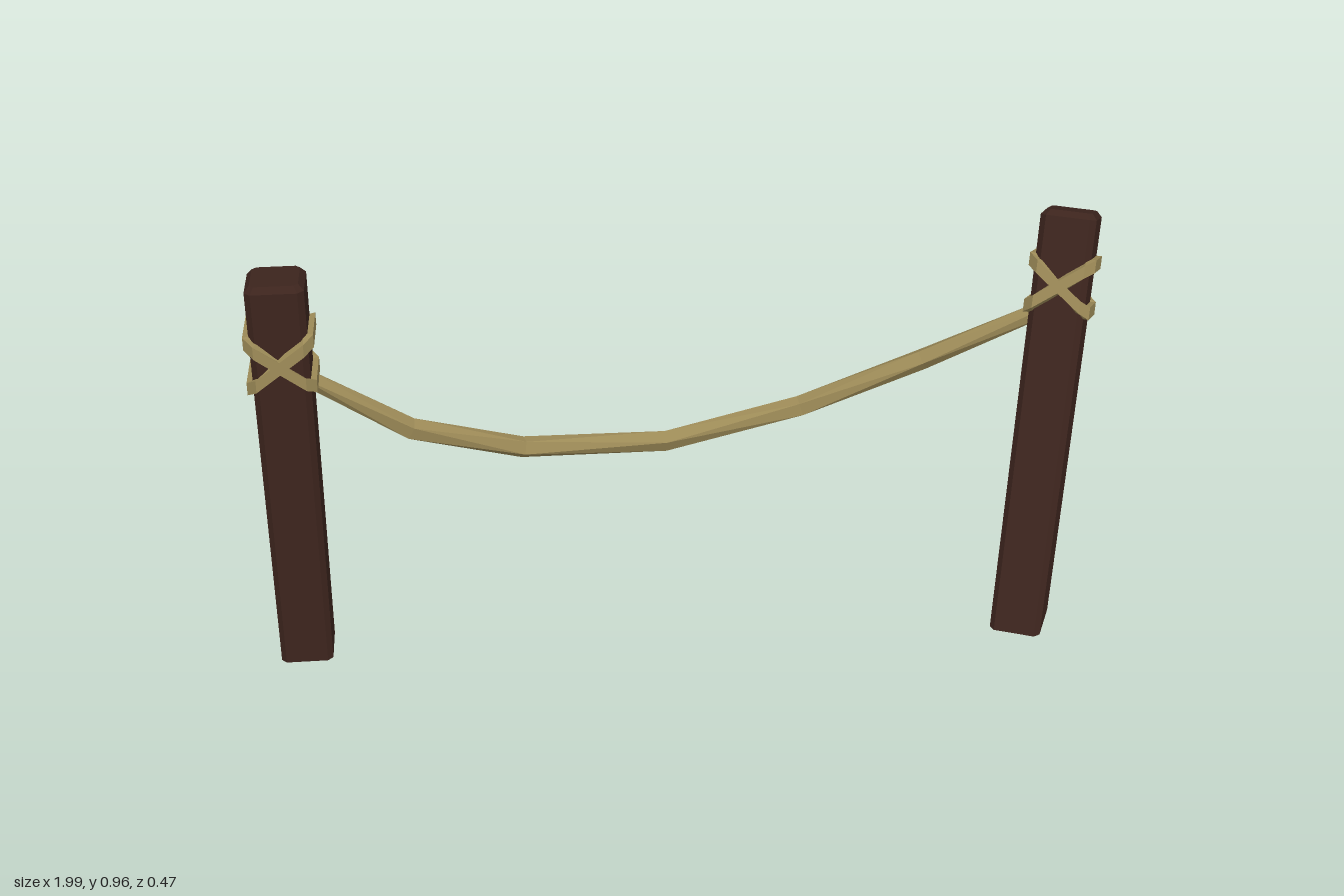
import * as THREE from 'three';

const wood = new THREE.MeshStandardMaterial({ color: 0x3c241d, flatShading: true });
const hemp = new THREE.MeshStandardMaterial({ color: 0x9c8a57, flatShading: true });
const V = (x, y, z) => new THREE.Vector3(x, y, z);

// Skin a list of rings; either joined end to start or capped at both ends.
function loft(rings, closed = false) {
  const p = [];
  const tri = (...vs) => vs.forEach(v => p.push(v.x, v.y, v.z));
  const n = rings[0].length;
  const count = closed ? rings.length : rings.length - 1;
  for (let i = 0; i < count; i++) {
    const r = rings[i], s = rings[(i + 1) % rings.length];
    for (let j = 0; j < n; j++) {
      const k = (j + 1) % n;
      tri(r[j], r[k], s[j]);
      tri(r[k], s[k], s[j]);
    }
  }
  if (!closed) {
    const a = rings[0], b = rings[rings.length - 1];
    for (let j = 1; j < n - 1; j++) {
      tri(a[0], a[j + 1], a[j]);
      tri(b[0], b[j], b[j + 1]);
    }
  }
  const g = new THREE.BufferGeometry();
  g.setAttribute('position', new THREE.Float32BufferAttribute(p, 3));
  g.computeVertexNormals();
  return g;
}

function part(name, geometry, material) {
  const m = new THREE.Mesh(geometry, material);
  m.name = name;
  return m;
}

// Rectangle with cut corners, as [x, z] pairs running from +z towards +x.
function cutRect(hx, hz, c) {
  return [[hx - c, hz], [hx, hz - c], [hx, c - hz], [hx - c, -hz],
    [c - hx, -hz], [-hx, c - hz], [-hx, hz - c], [c - hx, hz]];
}

// Square post with bevelled edges; its foot is cut level with the ground.
function postGeometry(length, tilt) {
  const ring = (hx, hz, c, y) => cutRect(hx, hz, c).map(([x, z]) => V(x, y, z));
  const foot = ring(0.06, 0.063, 0.012, 0);
  foot.forEach(v => { v.y = v.z * Math.tan(tilt); });
  return loft([foot, ring(0.065, 0.067, 0.014, length - 0.014),
    ring(0.053, 0.055, 0.01, length)]);
}

// Rope loop around a post, rising from one side to the other.
function bandGeometry(slope) {
  const hx = 0.066, hz = 0.071, r = 0.011, h = 0.015;
  const inner = cutRect(hx - r, hz - r, 0.012);
  const outer = cutRect(hx + r, hz + r, 0.022);
  return loft(inner.map(([xi, zi], i) => {
    const [xo, zo] = outer[i];
    const y = slope * 0.055 * (xi + xo) / (2 * hx);
    return [V(xi, y + h, zi), V(xo, y + h, zo), V(xo, y - h, zo), V(xi, y - h, zi)];
  }), true);
}

// Leaning post with two crossed rope loops.
function post(name, base, length, tilt, yaw, bandHeight) {
  const g = new THREE.Group();
  g.name = name;
  g.position.copy(base);
  g.rotation.set(tilt, yaw, 0, 'YXZ');
  g.add(part('woodenPost', postGeometry(length, tilt), wood));
  for (const slope of [1, -1]) {
    const band = part(slope > 0 ? 'ropeLoopRising' : 'ropeLoopFalling', bandGeometry(slope), hemp);
    band.position.y = bandHeight;
    g.add(band);
  }
  return g;
}

// Sagging rope: a five-sided section that twists along its path.
function ropeGeometry() {
  const path = [V(-0.89, 0.715, 0.05), V(-0.65, 0.53, 0.005), V(-0.39, 0.427, -0.06),
    V(-0.05, 0.395, -0.115), V(0.28, 0.45, -0.15), V(0.57, 0.57, -0.142), V(0.86, 0.715, -0.105)];
  const up = V(0, 1, 0);
  return loft(path.map((p, i) => {
    const t = path[Math.min(i + 1, 6)].clone().sub(path[Math.max(i - 1, 0)]).normalize();
    const side = V(0, 0, 0).crossVectors(t, up).normalize();
    const lift = V(0, 0, 0).crossVectors(t, side);
    const r = i === 0 || i === 6 ? 0.02 : 0.026;
    return Array.from({ length: 5 }, (_, j) => {
      const a = j / 5 * Math.PI * 2 + i * 0.75;
      return p.clone().addScaledVector(side, r * Math.cos(a)).addScaledVector(lift, r * Math.sin(a));
    });
  }));
}

export function createModel() {
  const model = new THREE.Group();
  model.name = 'ropeFence';
  const deg = Math.PI / 180;
  model.add(
    post('rightPost', V(-0.92, 0.003, 0.1), 0.955, -3 * deg, 0, 0.768),
    post('leftPost', V(0.78, 0.01, 0.157), 0.99, -20.2 * deg, -22.4 * deg, 0.815),
    part('hangingRope', ropeGeometry(), hemp)
  );
  return model;
}
